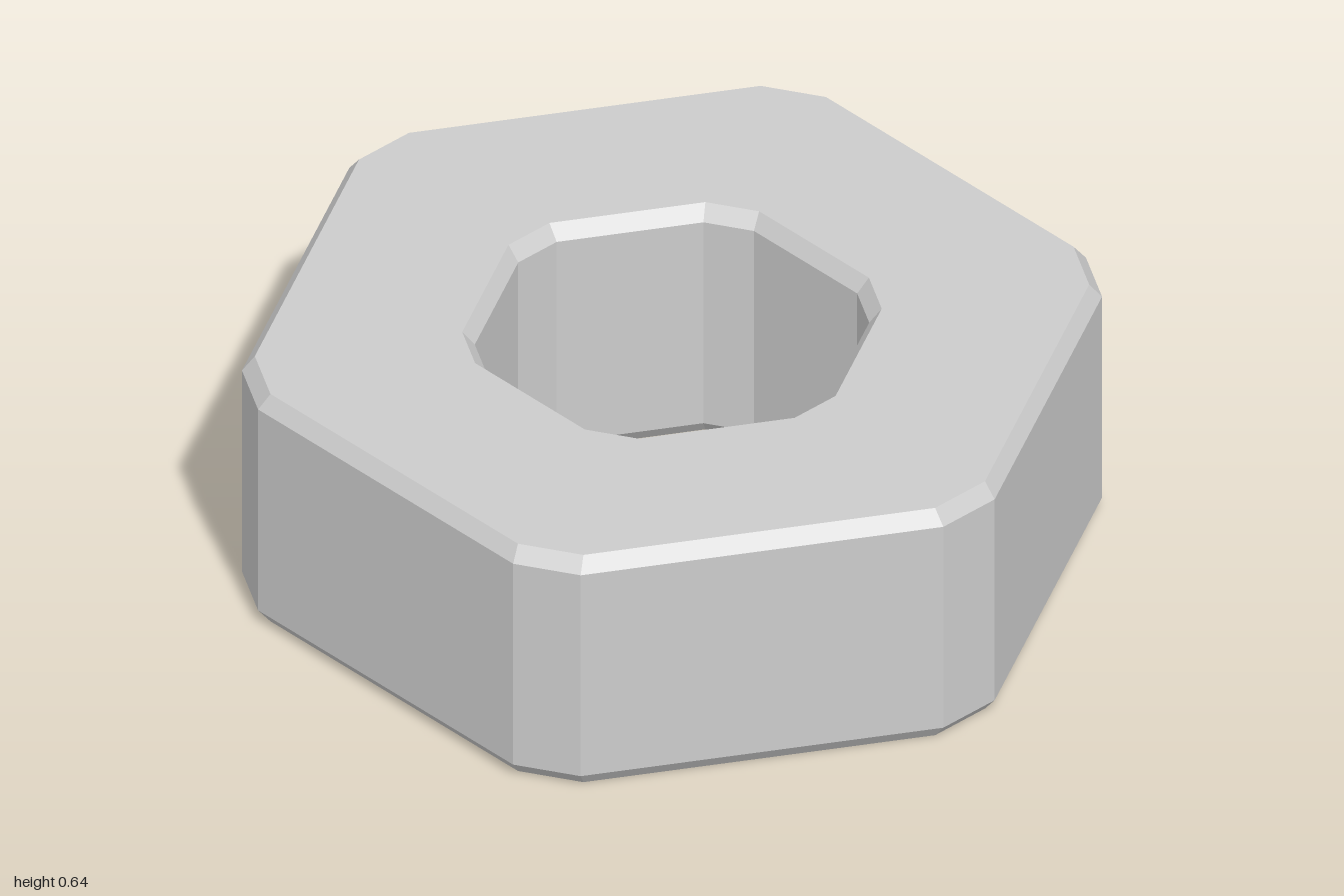
import * as THREE from 'three';

// Profile of the nut, going up the outside, across the top and down the hole:
// [corner radius, height, half-angle of the cut corner in degrees]
const H = 0.637, BEVEL = 0.037;
const profile = [
  [0.973, 0, 4.65],
  [1.003, BEVEL, 4.65],
  [1.003, H - BEVEL, 4.65],
  [0.973, H, 4.65],
  [0.486, H, 7.65],
  [0.457, H - BEVEL, 7.65],
  [0.457, BEVEL, 7.65],
  [0.486, 0, 7.65],
];

// A hexagon with cut corners: two points either side of each 60 degree corner
function ring([radius, y, half]) {
  const points = [];
  for (let corner = 0; corner < 6; corner++) {
    for (const side of [-1, 1]) {
      const a = THREE.MathUtils.degToRad(corner * 60 + side * half);
      points.push([radius * Math.cos(a), y, radius * Math.sin(a)]);
    }
  }
  return points;
}

// Joins each ring to the next, closing the profile underneath
function buildNut() {
  const rings = profile.map(ring);
  const positions = [];
  rings.forEach((low, i) => {
    const high = rings[(i + 1) % rings.length];
    low.forEach((p, j) => {
      const k = (j + 1) % low.length;
      positions.push(...p, ...high[j], ...high[k], ...p, ...high[k], ...low[k]);
    });
  });
  const geometry = new THREE.BufferGeometry();
  geometry.setAttribute('position', new THREE.Float32BufferAttribute(positions, 3));
  geometry.computeVertexNormals();
  return geometry;
}

export function createModel() {
  const model = new THREE.Group();
  model.name = 'hexNut';
  const material = new THREE.MeshStandardMaterial({ color: 0xcccccc, flatShading: true });
  const nut = new THREE.Mesh(buildNut(), material);
  nut.name = 'nutBody';
  model.add(nut);
  return model;
}
